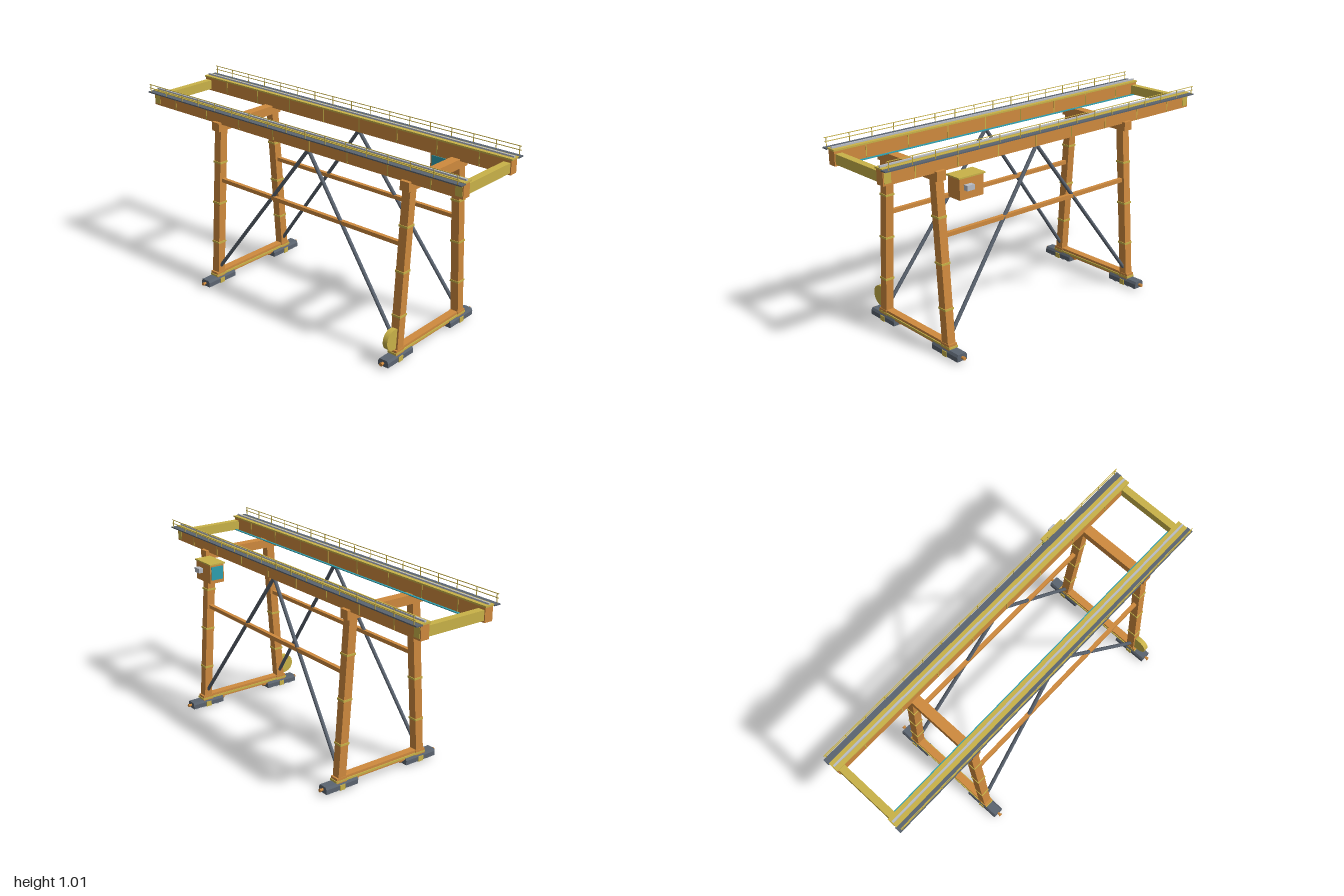
import * as THREE from 'three';

const material = (name, color, extra = {}) => {
  const m = new THREE.MeshStandardMaterial({ color, ...extra });
  m.name = name;
  return m;
};

export function createModel() {
  const orange = material('orange paint', 0xcf8a3e);
  const yellow = material('yellow paint', 0xc9b248);
  const steel = material('dark steel', 0x5b6470);
  const silver = material('light metal', 0xb9bdc6);
  const teal = material('teal glass', 0x2e9fb0);

  const root = new THREE.Group();
  root.name = 'gantryCrane';

  const add = (name, geometry, mat, parent = root) => {
    const mesh = new THREE.Mesh(geometry, mat);
    mesh.name = name;
    parent.add(mesh);
    return mesh;
  };
  // Box given by its min and max on each axis
  const box = (name, mat, [x0, x1], [y0, y1], [z0, z1], parent) => {
    const g = new THREE.BoxGeometry(Math.abs(x1 - x0), y1 - y0, z1 - z0);
    g.translate((x0 + x1) / 2, (y0 + y1) / 2, (z0 + z1) / 2);
    return add(name, g, mat, parent);
  };
  // Round bar between two points
  const bar = (name, mat, a, b, r, parent, sides = 10) => {
    const p = new THREE.Vector3(...a), q = new THREE.Vector3(...b);
    const mesh = add(name, new THREE.CylinderGeometry(r, r, p.distanceTo(q), sides), mat, parent);
    mesh.position.copy(p).add(q).multiplyScalar(0.5);
    mesh.quaternion.setFromUnitVectors(new THREE.Vector3(0, 1, 0), q.sub(p).normalize());
    return mesh;
  };
  const around = (c, w) => [c - w / 2, c + w / 2];

  const frames = [0.695, -0.505];   // z of the two portal frames
  const apexZ = 0.095;
  const legTop = 0.86, legBottom = 0.05;
  // Leg centre line leans outwards towards the ground
  const legX = y => 0.188 + (0.85 - y) * 0.0715;

  // Bogie cross-section, chamfered along the top
  const bogieShape = new THREE.Shape([
    [-0.029, 0.013], [0.029, 0.013], [0.029, 0.036], [0.022, 0.048], [-0.022, 0.048], [-0.029, 0.036],
  ].map(p => new THREE.Vector2(...p)));

  for (const s of [1, -1]) {
    const side = s > 0 ? 'left' : 'right';

    // Main girder with flange, trolley rail and stiffeners
    const girder = new THREE.Group();
    girder.name = side + 'Girder';
    root.add(girder);
    const gx = s * 0.185;
    box('girderWeb', orange, around(gx, 0.046), [0.887, 0.958], [-0.99, 0.99], girder);
    box('topFlange', yellow, around(gx, 0.054), [0.958, 0.966], [-0.995, 0.995], girder);
    box('trolleyRail', silver, around(gx, 0.01), [0.966, 0.974], [-0.99, 0.99], girder);
    for (let i = 0; i < 8; i++) {
      box('stiffener', yellow, around(gx, 0.049), [0.89, 0.958], around(-0.823 + i * 0.235, 0.005), girder);
    }

    // Walkway and handrail on the outer side
    const walkway = new THREE.Group();
    walkway.name = side + 'Walkway';
    root.add(walkway);
    box('walkwayDeck', steel, [s * 0.208, s * 0.242], [0.957, 0.963], [-1, 1], walkway);
    for (const y of [0.985, 1.004]) {
      box('handrail', yellow, around(s * 0.24, 0.003), around(y, 0.003), [-0.99, 0.99], walkway);
    }
    for (let i = 0; i < 17; i++) {
      box('railPost', yellow, around(s * 0.24, 0.003), [0.963, 1.004], around(-0.98 + i * 0.1225, 0.003), walkway);
    }

    for (const z of frames) {
      const leg = new THREE.Group();
      leg.name = side + (z > 0 ? 'FrontLeg' : 'BackLeg');
      root.add(leg);

      // Leaning leg: a box sheared along its centre line
      const g = new THREE.BoxGeometry(0.045, legTop - legBottom, 0.044);
      g.translate(0, (legTop + legBottom) / 2, 0);
      const p = g.attributes.position;
      for (let i = 0; i < p.count; i++) p.setX(i, p.getX(i) + s * legX(p.getY(i)));
      g.translate(0, 0, z);
      g.computeVertexNormals();
      add('legColumn', g, orange, leg);
      for (const y of [0.24, 0.46, 0.68]) {
        box('legCollar', yellow, around(s * legX(y), 0.052), around(y, 0.01), around(z, 0.05), leg);
      }
      box('legFoot', orange, around(s * 0.247, 0.058), [0.045, 0.072], around(z, 0.048), leg);

      // Wheel bogie with wheels, pivot and buffers
      const bogie = new THREE.Group();
      bogie.name = side + (z > 0 ? 'FrontBogie' : 'BackBogie');
      bogie.position.set(s * 0.247, 0, z);
      root.add(bogie);
      const body = new THREE.ExtrudeGeometry(bogieShape, { depth: 0.19, bevelEnabled: false });
      body.translate(0, 0, -0.095).rotateY(Math.PI / 2);
      add('bogieBody', body, steel, bogie);
      box('bogiePivot', yellow, around(0, 0.031), [0.01, 0.037], around(0, 0.064), bogie);
      for (const x of [-0.065, -0.021, 0.023, 0.067]) {
        bar('wheel', silver, [x, 0.017, -0.014], [x, 0.017, 0.014], 0.017, bogie, 20);
      }
      for (const d of [1, -1]) {
        bar('buffer', orange, [d * 0.09, 0.03, 0], [d * 0.112, 0.03, 0], 0.007, bogie);
        bar('bufferHead', orange, [d * 0.108, 0.03, 0], [d * 0.114, 0.03, 0], 0.009, bogie);
      }

      // Diagonal brace up to the middle of the girder
      const inward = z > apexZ ? -0.018 : 0.018;
      bar('diagonalBrace', steel, [s * legX(0.105), 0.105, z + inward], [s * 0.187, 0.887, apexZ], 0.0095);
    }

    // Horizontal tie between the legs of one side
    box('sideTie', orange, around(s * legX(0.585), 0.02), [0.575, 0.595], [frames[1], frames[0]]);
  }

  for (const z of frames) {
    // Portal cross beam, work lamp and ground sill
    box('crossBeam', orange, [-0.226, 0.226], [0.85, 0.896], around(z, 0.05));
    box('workLamp', silver, around(0, 0.02), [0.838, 0.85], around(z, 0.02));
    box('sillBeam', orange, [-0.23, 0.23], [0.04, 0.073], around(z, 0.04));
    box('sillStrip', yellow, [-0.28, 0.28], [0.05, 0.06], around(z, 0.05));
  }

  // End ties between the girders
  for (const z of [0.967, -0.967]) {
    box('endTie', yellow, [-0.21, 0.21], [0.896, 0.945], around(z, 0.036));
  }

  // Power strip along the inner side of the right girder
  box('powerStrip', teal, around(-0.143, 0.012), [0.895, 0.899], [-0.955, 0.955]);

  // Operator cabin
  const cabin = new THREE.Group();
  cabin.name = 'cabin';
  root.add(cabin);
  box('cabinBody', orange, [0.215, 0.297], [0.766, 0.865], [0.516, 0.652], cabin);
  box('cabinRoof', yellow, [0.21, 0.301], [0.865, 0.872], [0.508, 0.658], cabin);
  box('rearWindow', teal, [0.222, 0.29], [0.785, 0.855], [0.512, 0.516], cabin);
  box('innerWindow', teal, [0.211, 0.215], [0.785, 0.855], [0.525, 0.643], cabin);
  box('coolingUnit', silver, [0.297, 0.322], [0.811, 0.836], around(0.608, 0.042), cabin);

  // Cable reel beside the front right leg
  bar('cableReel', yellow, [-0.28, 0.13, 0.682], [-0.28, 0.13, 0.708], 0.053, root, 32);

  return root;
}
